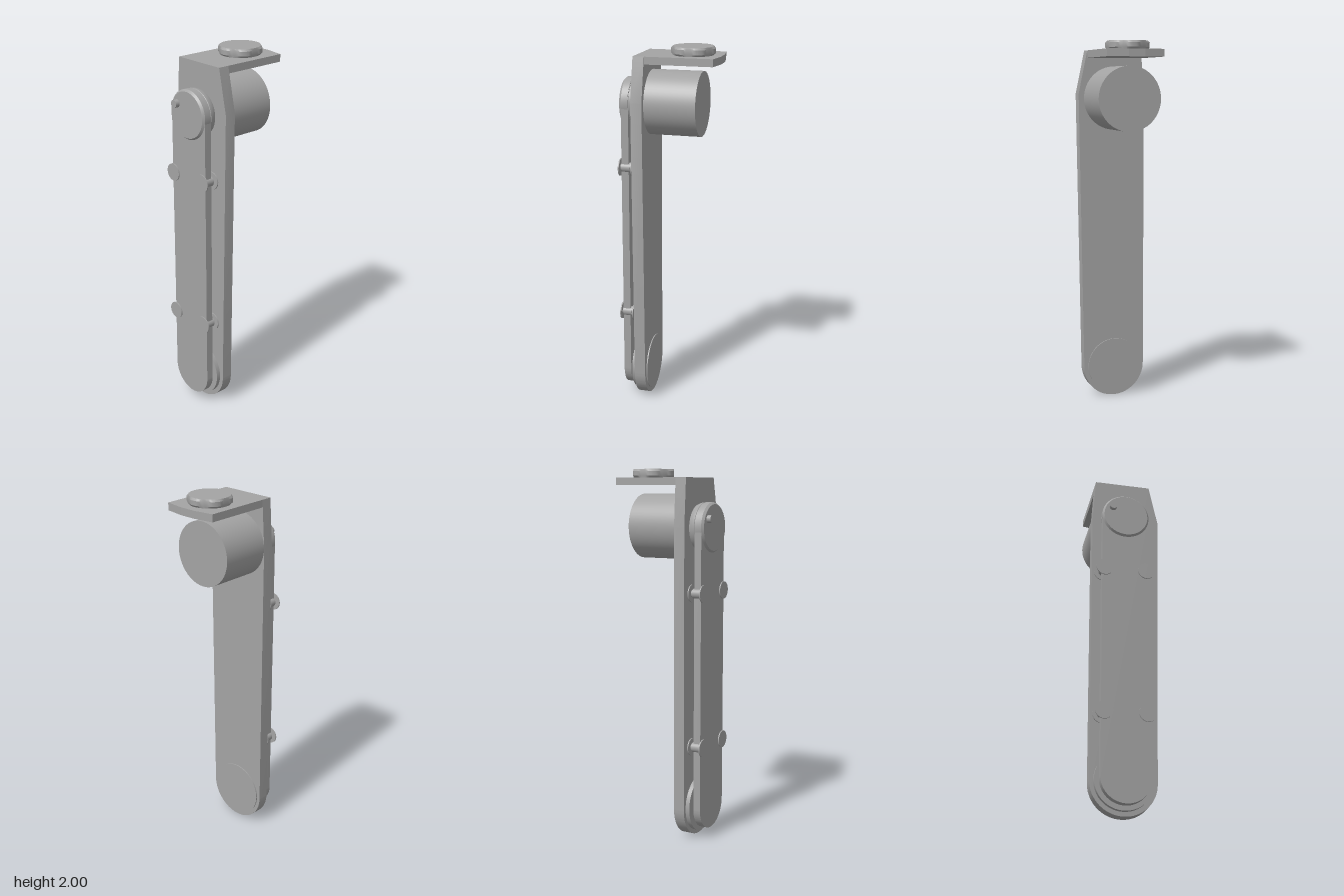
import * as THREE from 'three';
import { toCreasedNormals } from 'three/addons/utils/BufferGeometryUtils.js';

export function createModel() {
  const group = new THREE.Group();
  const grey = new THREE.MeshStandardMaterial({ color: 0xa3a3a3 });
  grey.name = 'machined grey';
  const Z = -0.013; // shared axis of the motor, pulley and hub

  function add(name, geometry) {
    const mesh = new THREE.Mesh(geometry, grey);
    mesh.name = name;
    group.add(mesh);
    return mesh;
  }

  // Disc or shaft running along x from x0 to x1
  function rod(name, x0, x1, y, z, radius, segments = 64) {
    const geometry = new THREE.CylinderGeometry(radius, radius, x1 - x0, segments);
    geometry.rotateZ(Math.PI / 2);
    return add(name, geometry).position.set((x0 + x1) / 2, y, z);
  }

  // Solid of revolution around the x axis, profile as [radius, x] with x rising
  function turned(name, profile, y, z) {
    const points = profile.map(([r, x]) => new THREE.Vector2(r, x));
    const geometry = new THREE.LatheGeometry(points, 64);
    geometry.rotateZ(-Math.PI / 2);
    add(name, toCreasedNormals(geometry, 0.5)).position.set(0, y, z);
  }

  // Side outline drawn in (z, y), given thickness from x0 to x1
  function sidePlate(name, shape, x0, x1) {
    const geometry = new THREE.ExtrudeGeometry(shape, { depth: x1 - x0, bevelEnabled: false, curveSegments: 32 });
    geometry.rotateY(-Math.PI / 2);
    add(name, toCreasedNormals(geometry, 0.5)).position.x = x1;
  }

  // Long arm plate with a rounded foot and tapered head
  const arm = new THREE.Shape();
  arm.moveTo(0.14, 1.955);
  arm.lineTo(-0.17, 1.955);
  arm.lineTo(-0.187, 1.7);
  arm.lineTo(-0.187, 0.178);
  arm.absarc(-0.011, 0.178, 0.176, Math.PI, Math.PI * 2, false);
  arm.lineTo(0.19, 1.72);
  arm.closePath();
  sidePlate('armPlate', arm, -0.167, -0.106);

  // Top bracket with a slightly pointed end
  const bracket = new THREE.Shape([
    [-0.11, -0.14], [0.257, -0.14], [0.275, -0.03], [0.275, 0.06], [0.257, 0.17], [-0.11, 0.17],
  ].map(([x, y]) => new THREE.Vector2(x, y)));
  const bracketGeometry = new THREE.ExtrudeGeometry(bracket, { depth: 0.04, bevelEnabled: false });
  bracketGeometry.rotateX(-Math.PI / 2);
  add('topBracket', bracketGeometry).position.y = 1.915;

  // Chamfered hexagonal nut: a turned disc clipped by six flats
  const nutProfile = [[0, 0], [0.108, 0], [0.118, 0.01], [0.118, 0.034], [0.108, 0.045], [0, 0.045]];
  const nut = new THREE.LatheGeometry(nutProfile.map(([r, y]) => new THREE.Vector2(r, y)), 72);
  const p = nut.attributes.position;
  const sector = Math.PI / 3;
  for (let i = 0; i < p.count; i++) {
    const x = p.getX(i), z = p.getZ(i), r = Math.hypot(x, z);
    const angle = Math.atan2(x, z);
    const offset = angle - Math.round(angle / sector) * sector;
    const k = r > 0 ? Math.min(1, 0.11 / Math.cos(offset) / r) : 1;
    p.setXYZ(i, x * k, p.getY(i), z * k);
  }
  add('hexNut', toCreasedNormals(nut, 0.4)).position.set(0.117, 1.955, -0.015);

  // Motor body and lower hub
  rod('motor', -0.106, 0.171, 1.697, Z, 0.173);
  rod('lowerHub', -0.19, -0.1, 0.18, Z, 0.154);

  // Long belt body with two round ends
  const belt = new THREE.Shape();
  belt.absarc(Z, 1.695, 0.13, 0, Math.PI, false);
  belt.absarc(Z, 0.18, 0.132, Math.PI, Math.PI * 2, false);
  belt.closePath();
  sidePlate('beltBody', belt, -0.243, -0.203);

  // Upper pulley: outer face disc and tapered inner half
  turned('pulleyOuter', [[0, -0.254], [0.122, -0.254], [0.132, -0.242], [0.132, -0.206], [0.126, -0.203], [0, -0.203]], 1.695, Z);
  turned('pulleyInner', [[0, -0.204], [0.126, -0.204], [0.131, -0.2], [0.13, -0.186], [0.122, -0.166], [0, -0.166]], 1.695, Z);
  rod('crankPin', -0.277, -0.25, 1.742, -0.087, 0.021, 32);

  // Four flanged guide rollers along the belt edges
  for (const y of [0.525, 1.355]) {
    for (const z of [-0.13, 0.1]) {
      rod('rollerShaft', -0.25, -0.16, y, z, 0.02, 32);
      rod('guideRoller', -0.242, -0.194, y, z, 0.027, 32);
      rod('rollerOuterFlange', -0.255, -0.249, y, z, 0.047, 40);
      rod('rollerInnerFlange', -0.187, -0.181, y, z, 0.047, 40);
    }
  }
  return group;
}
